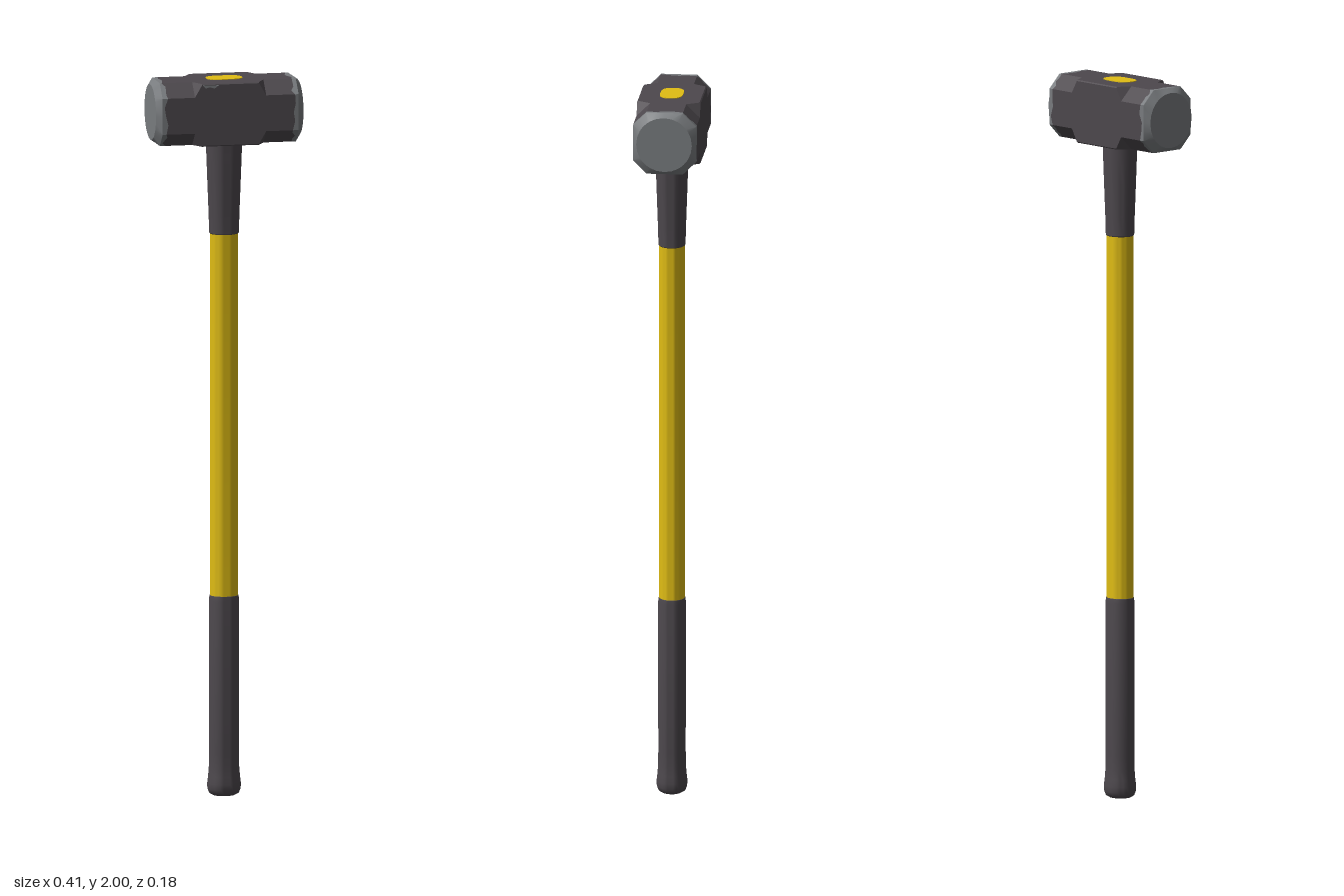
import * as THREE from 'three';
import { toCreasedNormals } from 'three/addons/utils/BufferGeometryUtils.js';

const material = (name, color) => {
  const m = new THREE.MeshStandardMaterial({ color });
  m.name = name;
  return m;
};

const HALF = 0.0875;      // half height and depth of the head
const HEAD_Y = 1.9105;    // height of the head's centre
const EDGE_STEPS = 4;     // points along each side of the octagon

// Square of half size h with cut corners, as [y, z] points; k is half the flat's length
function octagon(h, k) {
  const c = [[h, -k], [h, k], [k, h], [-k, h], [-h, k], [-h, -k], [-k, -h], [k, -h]];
  const points = [];
  c.forEach((p, i) => {
    const q = c[(i + 1) % 8];
    for (let s = 0; s < EDGE_STEPS; s++) {
      const t = s / EDGE_STEPS;
      points.push([p[0] + (q[0] - p[0]) * t, p[1] + (q[1] - p[1]) * t]);
    }
  });
  return points;
}

const ring = (x, k) => octagon(HALF, k).map(([y, z]) => [x, y, z]);

// Round striking rim
const roundRing = (x, r) => octagon(HALF, 0.05).map(([y, z]) => {
  const l = Math.hypot(y, z);
  return [x, y * r / l, z * r / l];
});

// Uneven line where the dark finish has worn off
const wornRing = (side) => octagon(HALF, 0.05).map(([y, z], i) =>
  [side * (0.179 + 0.004 * Math.sin(i * 2.3 + side) + 0.003 * Math.sin(i * 5.1)), y, z]);

// Skin rings running from -x to +x, with optional flat ends
function loft(rings, capStart, capEnd) {
  const n = rings[0].length;
  const position = rings.flat(2);
  const index = [];
  for (let i = 0; i < rings.length - 1; i++) {
    for (let j = 0; j < n; j++) {
      const a = i * n + j, b = i * n + (j + 1) % n;
      index.push(a, b, b + n, a, b + n, a + n);
    }
  }
  const last = (rings.length - 1) * n;
  for (let j = 1; j < n - 1; j++) {
    if (capStart) index.push(0, j + 1, j);
    if (capEnd) index.push(last, last + j, last + j + 1);
  }
  const g = new THREE.BufferGeometry();
  g.setAttribute('position', new THREE.Float32BufferAttribute(position, 3));
  g.setIndex(index);
  return toCreasedNormals(g, 0.45);
}

// Oval handle section turned from [radius, y] points
function turned(profile) {
  const g = new THREE.LatheGeometry(profile.map(([r, y]) => new THREE.Vector2(r, y)), 32);
  g.scale(1, 1, 0.91);
  return toCreasedNormals(g, 0.7);
}

export function createModel() {
  const model = new THREE.Group();
  const dark = material('dark finish', 0x4d484d);
  const steel = material('worn steel', 0x797c7f);
  const yellow = material('yellow fibreglass', 0xe0bd14);

  const add = (name, geometry, mat, parent = model) => {
    const mesh = new THREE.Mesh(geometry, mat);
    mesh.name = name;
    parent.add(mesh);
    return mesh;
  };

  // Handle: rubber grip, bare shaft and collar under the head
  add('grip', turned([
    [0, 0], [0.03, 0.002], [0.041, 0.008], [0.046, 0.02], [0.0465, 0.035],
    [0.044, 0.055], [0.042, 0.08], [0.0415, 0.12], [0.042, 0.545], [0.04, 0.558], [0.037, 0.56],
  ]), dark);
  add('shaft', turned([[0.039, 0.55], [0.039, 1.58]]), yellow);
  add('collar', turned([
    [0.038, 1.565], [0.041, 1.568], [0.0425, 1.62], [0.046, 1.71], [0.049, 1.79], [0.05, 1.835],
  ]), dark);

  // Head: square middle narrowing to octagonal arms
  const head = new THREE.Group();
  head.name = 'head';
  head.position.y = HEAD_Y;
  model.add(head);
  add('headBody', loft([
    wornRing(-1), ring(-0.1, 0.05), ring(-0.08, 0.0845),
    ring(0.08, 0.0845), ring(0.1, 0.05), wornRing(1),
  ]), dark, head);

  // Bare striking faces with a bevelled round rim
  add('leftStrikingFace', loft(
    [wornRing(1), ring(0.191, 0.05), roundRing(0.207, 0.077)], false, true), steel, head);
  add('rightStrikingFace', loft(
    [roundRing(-0.207, 0.077), ring(-0.191, 0.05), wornRing(-1)], true, false), steel, head);

  // Scuff along the front upper edge
  const scuff = new THREE.Shape([
    [-0.078, 0.083], [-0.07, 0.075], [-0.058, 0.078], [-0.045, 0.074], [-0.033, 0.083],
  ].map(([x, y]) => new THREE.Vector2(x, y)));
  add('edgeScuff', new THREE.ExtrudeGeometry(scuff, { depth: 0.001, bevelEnabled: false }), steel, head)
    .position.z = HALF;

  // End of the shaft showing in the top of the head
  const oval = new THREE.Shape();
  for (let i = 0; i < 40; i++) {
    const a = i / 40 * Math.PI * 2;
    const soft = (v) => Math.sign(v) * Math.abs(v) ** 0.7;
    const x = 0.05 * soft(Math.cos(a)), y = 0.032 * soft(Math.sin(a));
    if (i) oval.lineTo(x, y); else oval.moveTo(x, y);
  }
  oval.closePath();
  const plug = new THREE.ExtrudeGeometry(oval, { depth: 0.004, bevelEnabled: false });
  plug.rotateX(-Math.PI / 2);
  add('shaftEnd', plug, yellow).position.y = 1.996;

  return model;
}
